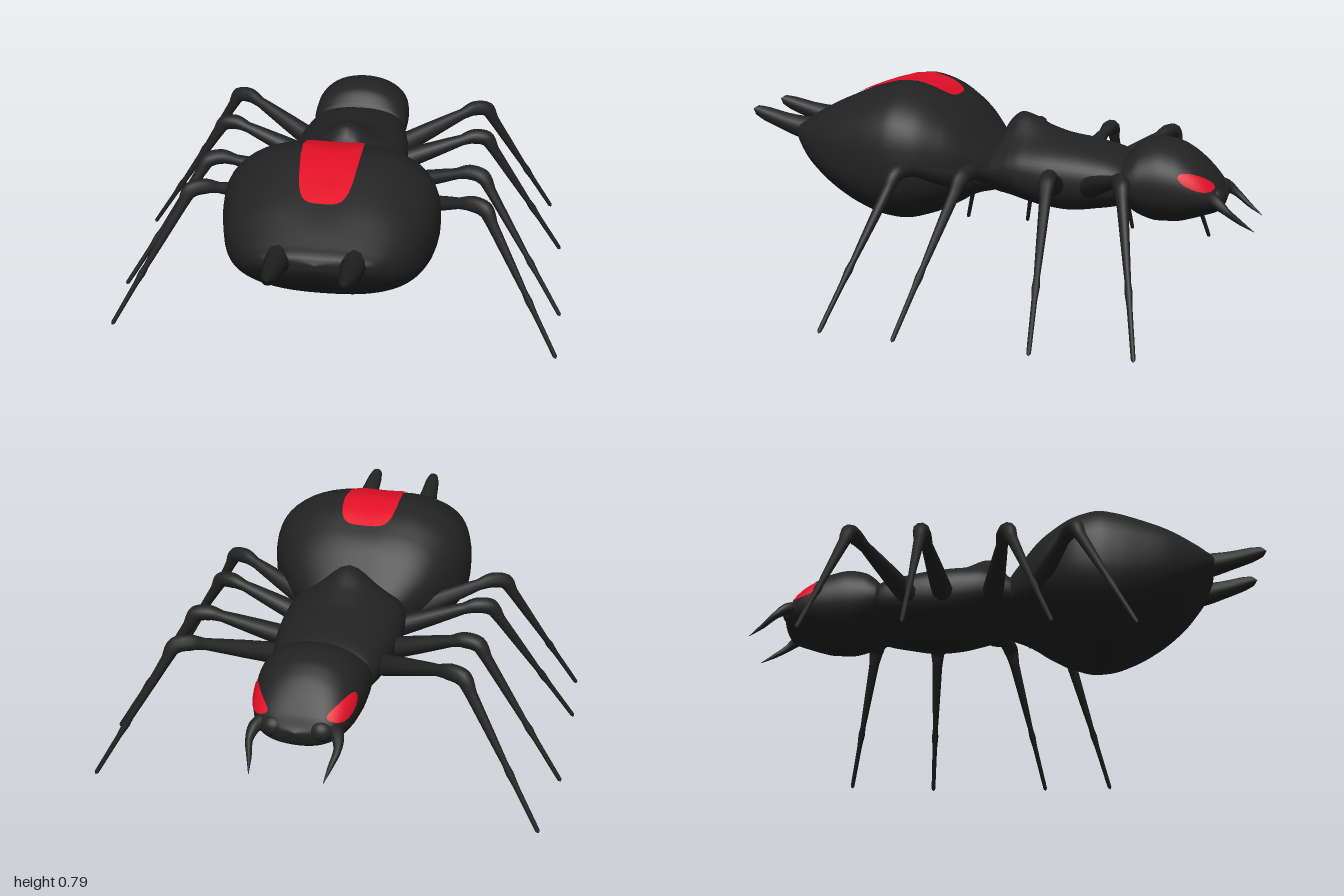
import * as THREE from 'three';

const black = new THREE.MeshStandardMaterial({ color: 0x222222 });
black.name = 'shellBlack';
const red = new THREE.MeshStandardMaterial({ color: 0xe10f26 });
red.name = 'markingRed';

// Body sections, rear being +z: z, half width, top, bottom, central ridge (+) or groove (-)
const abdomen = { n: 2.5, rows: [
  [-0.05, 0, 0.46, 0.45, 0], [-0.03, 0.15, 0.5, 0.39, 0], [0, 0.2, 0.55, 0.37, 0], [0.05, 0.255, 0.61, 0.36, 0],
  [0.1, 0.3, 0.67, 0.34, 0], [0.15, 0.335, 0.715, 0.31, -0.005], [0.25, 0.385, 0.775, 0.265, -0.012],
  [0.34, 0.4, 0.797, 0.245, -0.015], [0.4, 0.395, 0.788, 0.25, -0.015], [0.5, 0.375, 0.757, 0.285, -0.012],
  [0.6, 0.345, 0.717, 0.345, -0.008], [0.7, 0.285, 0.663, 0.43, 0], [0.75, 0.235, 0.635, 0.49, 0],
  [0.785, 0.18, 0.615, 0.54, 0], [0.8, 0, 0.59, 0.57, 0],
] };
const thorax = { n: 2.3, rows: [
  [-0.54, 0, 0.45, 0.43, 0], [-0.51, 0.185, 0.53, 0.345, 0], [-0.4, 0.21, 0.565, 0.32, 0],
  [-0.3, 0.225, 0.583, 0.308, 0], [-0.2, 0.23, 0.59, 0.318, 0.03], [-0.13, 0.227, 0.59, 0.335, 0.07],
  [-0.08, 0.22, 0.58, 0.35, 0.09], [-0.04, 0.21, 0.565, 0.36, 0.075], [0, 0.2, 0.545, 0.37, 0.02],
  [0.05, 0.17, 0.52, 0.38, 0], [0.08, 0, 0.46, 0.45, 0],
] };
const head = { n: 2.1, rows: [
  [-0.885, 0, 0.4, 0.39, 0], [-0.87, 0.105, 0.43, 0.35, -0.01], [-0.85, 0.138, 0.465, 0.333, -0.01],
  [-0.8, 0.168, 0.52, 0.315, -0.005], [-0.75, 0.182, 0.56, 0.298, 0], [-0.7, 0.19, 0.587, 0.286, 0],
  [-0.63, 0.196, 0.602, 0.284, 0], [-0.57, 0.196, 0.59, 0.3, 0], [-0.52, 0.19, 0.55, 0.335, 0],
  [-0.5, 0.17, 0.52, 0.36, 0], [-0.48, 0, 0.45, 0.43, 0],
] };

const signedPow = (v, p) => Math.sign(v) * Math.abs(v) ** p;

// Smooth interpolation of a section at z without overshoot
function section({ rows }, z) {
  let i = 0;
  while (i < rows.length - 2 && z > rows[i + 1][0]) i++;
  const w = rows[i + 1][0] - rows[i][0], t = THREE.MathUtils.clamp((z - rows[i][0]) / w, 0, 1);
  return [1, 2, 3, 4].map((k) => {
    const secant = (j) => (rows[j + 1][k] - rows[j][k]) / (rows[j + 1][0] - rows[j][0]);
    const slope = (j) => {
      if (j === 0) return secant(0);
      if (j === rows.length - 1) return secant(j - 1);
      const a = secant(j - 1), b = secant(j);
      return a * b > 0 ? (2 * a * b) / (a + b) : 0;
    };
    const p = rows[i][k], q = rows[i + 1][k];
    return p + (q - p) * t * t * (3 - 2 * t)
      + w * t * (1 - t) * ((1 - t) * slope(i) - t * slope(i + 1));
  });
}

// Point on a body part at z and angle, optionally lifted off the surface
function surface(part, z, angle, lift = 0) {
  const [w, top, bottom, ridge] = section(part, z);
  const c = Math.cos(angle), s = Math.sin(angle);
  const x = w * signedPow(c, 2 / part.n);
  const dy = (top - bottom) / 2 * signedPow(s, 2 / part.n);
  const y = (top + bottom) / 2 + dy + ridge * Math.exp(-((x / 0.1) ** 2)) * Math.max(0, s);
  const len = Math.hypot(x, dy) || 1;
  return [x + lift * x / len, y + lift * dy / len, z];
}

// Grid of points closed around j
function grid(fn, rings, sides, flip = false) {
  const pos = [], index = [];
  for (let i = 0; i <= rings; i++) for (let j = 0; j < sides; j++) pos.push(...fn(i, j));
  for (let i = 0; i < rings; i++) for (let j = 0; j < sides; j++) {
    const k = (j + 1) % sides;
    const a = i * sides + j, b = i * sides + k, c = a + sides, d = b + sides;
    if (flip) index.push(a, c, b, b, c, d);
    else index.push(a, b, c, b, d, c);
  }
  const g = new THREE.BufferGeometry();
  g.setAttribute('position', new THREE.Float32BufferAttribute(pos, 3));
  g.setIndex(index);
  g.computeVertexNormals();
  return g;
}

function loft(part) {
  const { rows } = part, steps = 5, sides = 56;
  return grid((i, j) => {
    const r = Math.min(Math.floor(i / steps), rows.length - 2);
    const z = THREE.MathUtils.lerp(rows[r][0], rows[r + 1][0], i / steps - r);
    return surface(part, z, j / sides * Math.PI * 2);
  }, (rows.length - 1) * steps, sides);
}

// Tapered tube through points given as x, y, z, radius
function taper(points, side, segments = 8, sides = 12) {
  const curve = new THREE.CatmullRomCurve3(points.map(([x, y, z]) => new THREE.Vector3(x * side, y, z)));
  curve.getPointAt = (t) => curve.getPoint(t);
  curve.getTangentAt = (t) => curve.getTangent(t);
  const n = (points.length - 1) * segments;
  const g = new THREE.TubeGeometry(curve, n, 1, sides);
  const pos = g.attributes.position, v = new THREE.Vector3();
  for (let i = 0; i < pos.count; i++) {
    const u = Math.floor(i / (sides + 1)) / n, f = u * (points.length - 1);
    const k = Math.min(Math.floor(f), points.length - 2);
    const r = THREE.MathUtils.lerp(points[k][3], points[k + 1][3], f - k);
    const c = curve.getPoint(u);
    v.fromBufferAttribute(pos, i).sub(c).multiplyScalar(r).add(c);
    pos.setXYZ(i, v.x, v.y, v.z);
  }
  return g;
}

export function createModel() {
  const model = new THREE.Group();
  const add = (name, geometry, material = black) => {
    const mesh = new THREE.Mesh(geometry, material);
    mesh.name = name;
    model.add(mesh);
    return mesh;
  };

  add('abdomen', loft(abdomen));
  add('thorax', loft(thorax));
  add('head', loft(head));

  // Red marking laid over the top of the abdomen
  add('backMarking', grid((i, j) => {
    const r = i / 12, a = j / 64 * Math.PI * 2;
    const z = 0.385 + 0.213 * r * signedPow(Math.sin(a), 0.45);
    const x = 0.108 * (1 - Math.max(0, z - 0.35) * 0.8) * r * signedPow(Math.cos(a), 0.45);
    const c = signedPow(x / section(abdomen, z)[0], abdomen.n / 2);
    return surface(abdomen, z, Math.acos(c), 0.005);
  }, 12, 64), red);

  // Legs: hip x, hip z, knee x, knee z, foot x, foot z
  const legs = [
    [0.2, -0.4, 0.49, -0.575, 0.83, -0.7],
    [0.21, -0.26, 0.5, -0.32, 0.87, -0.35],
    [0.2, -0.07, 0.5, -0.02, 0.87, 0.14],
    [0.23, 0.09, 0.52, 0.22, 0.855, 0.42],
  ];

  for (const side of [1, -1]) {
    const label = side > 0 ? 'left' : 'right';

    add(label + 'Eye', grid((i, j) => {
      const r = i / 8, a = j / 32 * Math.PI * 2;
      const z = -0.785 + 0.064 * r * Math.cos(a);
      const y = 0.465 + 0.022 * r * Math.cos(a) + 0.025 * r * Math.sin(a);
      const [, top, bottom] = section(head, z);
      const s = signedPow((2 * y - top - bottom) / (top - bottom), head.n / 2);
      const p = surface(head, z, Math.asin(THREE.MathUtils.clamp(s, -1, 1)), 0.005);
      return [p[0] * side, p[1], p[2]];
    }, 8, 32, side < 0), red);

    add(label + 'Mandible', taper([
      [0.115, 0.41, -0.82, 0.03], [0.145, 0.395, -0.86, 0.024], [0.155, 0.365, -0.9, 0.014],
      [0.142, 0.325, -0.95, 0.009], [0.13, 0.29, -1, 0.001],
    ], side));

    const lobe = add(label + 'MouthLobe', new THREE.SphereGeometry(1, 20, 14));
    lobe.scale.set(0.045, 0.04, 0.04);
    lobe.position.set(0.085 * side, 0.4, -0.845);

    add(label + 'Spinneret', taper([
      [0.125, 0.575, 0.7, 0.06], [0.13, 0.585, 0.78, 0.046], [0.13, 0.605, 0.86, 0.036],
      [0.128, 0.63, 0.94, 0.029], [0.127, 0.643, 0.98, 0.02], [0.127, 0.648, 1, 0],
    ], side));

    legs.forEach(([hx, hz, kx, kz, fx, fz], n) => {
      const thigh = (t, y, r) => [hx + (kx - hx) * t, y, hz + (kz - hz) * t, r];
      const shin = (t, r) => [kx + 0.03 + (fx - kx - 0.03) * t, 0.53 * (1 - t), kz + (fz - kz) * (0.06 + 0.94 * t), r];
      add(label + 'Leg' + (n + 1), taper([
        thigh(-0.3, 0.41, 0.02), thigh(0, 0.435, 0.042), thigh(0.35, 0.47, 0.034), thigh(0.78, 0.513, 0.022),
        thigh(0.95, 0.528, 0.03), shin(0.02, 0.031), shin(0.12, 0.021), shin(0.35, 0.016), shin(0.56, 0.011),
        shin(0.62, 0.014), shin(0.7, 0.01), shin(0.985, 0.008), shin(1, 0.001),
      ], side, 5, 10));
    });
  }
  return model;
}
